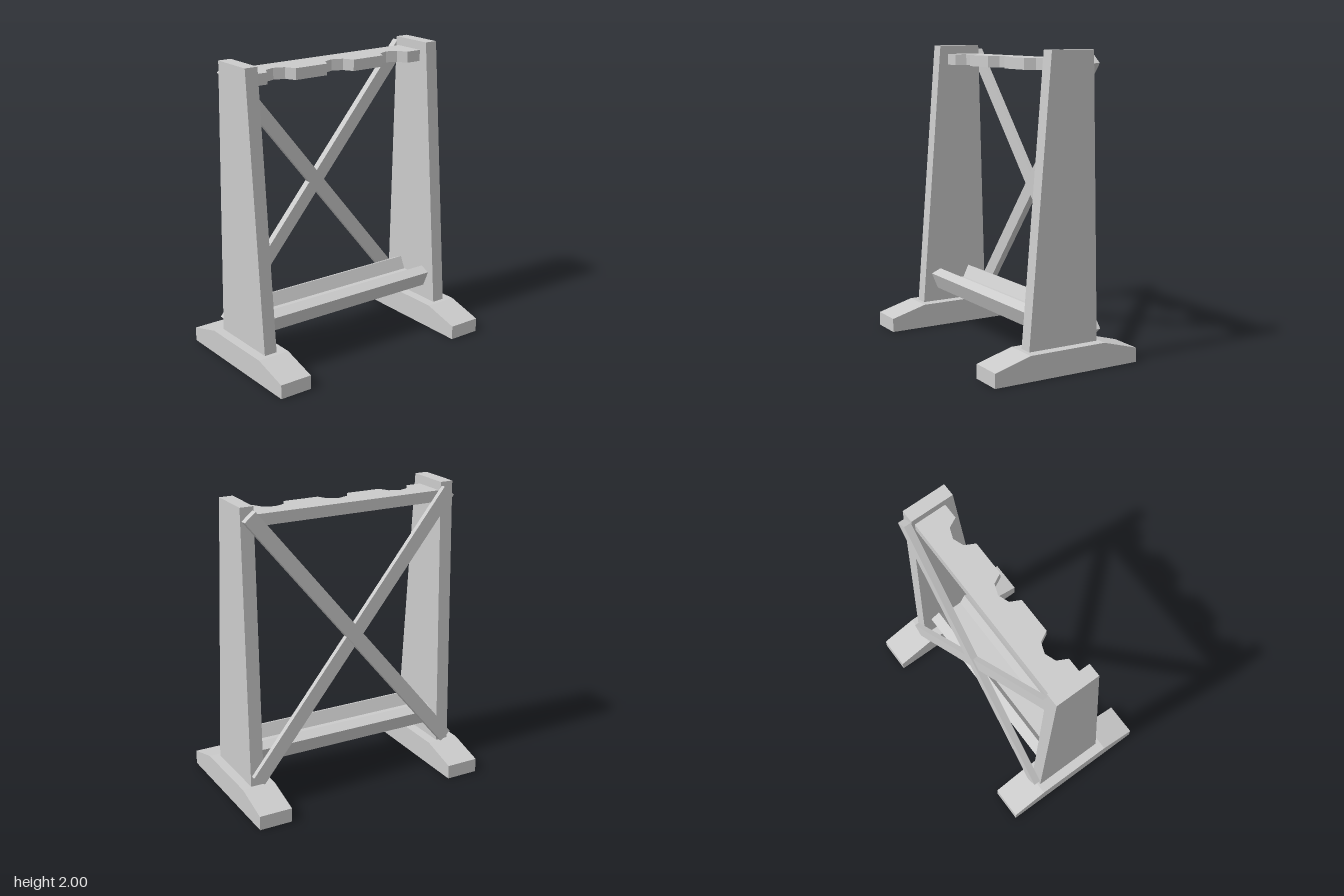
import * as THREE from 'three';

const material = new THREE.MeshStandardMaterial({ color: 0xcccccc, flatShading: true });

function addMesh(parent, name, geometry) {
  const mesh = new THREE.Mesh(geometry, material);
  mesh.name = name;
  parent.add(mesh);
  return mesh;
}

const toShape = (points) => new THREE.Shape(points.map(([a, b]) => new THREE.Vector2(a, b)));

// Side profile given as [z, y], extruded along x and centred on x = 0
function sideExtrude(points, width) {
  const geometry = new THREE.ExtrudeGeometry(toShape(points), { depth: width, bevelEnabled: false });
  geometry.translate(0, 0, -width / 2);
  geometry.rotateY(-Math.PI / 2);
  return geometry;
}

export function createModel() {
  const group = new THREE.Group();
  group.name = 'rack';

  // Feet and tapered uprights on both sides
  const footProfile = [[-0.525, 0], [0.525, 0], [0.525, 0.095], [0.275, 0.165], [-0.275, 0.165], [-0.525, 0.095]];
  const postProfile = [[-0.26, 0.165], [0.245, 0.165], [0.095, 2], [-0.21, 2]];
  for (const [side, s] of [['left', 1], ['right', -1]]) {
    addMesh(group, side + 'Foot', sideExtrude(footProfile, 0.225)).position.x = s * 0.7125;
    addMesh(group, side + 'Post', sideExtrude(postProfile, 0.09)).position.x = s * 0.715;
  }

  // Lower trough with two outward-leaning lips
  const half = [[0.138, 0.26], [0.185, 0.37], [0.115, 0.4], [0.075, 0.317]];
  const mirrored = half.map(([z, y]) => [-z, y]).reverse();
  addMesh(group, 'trough', sideExtrude([...half, ...mirrored], 1.34)).position.z = -0.005;

  // Top shelf with three notches in its front edge
  const outline = [[-0.67, 0.19], [-0.67, -0.035]];
  for (const c of [-0.455, 0, 0.455]) {
    for (const [dx, z] of [[-0.107, 0.035], [-0.072, -0.033], [0, -0.06], [0.072, -0.033], [0.107, 0.035]]) {
      outline.push([c + dx, -z]);
    }
  }
  outline.push([0.67, -0.035], [0.67, 0.19]);
  const shelf = new THREE.ExtrudeGeometry(toShape(outline), { depth: 0.075, bevelEnabled: false });
  shelf.rotateX(-Math.PI / 2);
  addMesh(group, 'notchedShelf', shelf).position.y = 1.866;

  // Crossed braces lying against the sloping backs of the uprights
  const braces = new THREE.Group();
  braces.name = 'crossBraces';
  braces.position.set(0, 1.075, -0.235);
  braces.rotation.x = 0.0272;
  const angle = Math.atan2(0.87, 0.715);
  for (const [name, s, thickness] of [['outerBrace', 1, 0.048], ['innerBrace', -1, 0.035]]) {
    const brace = addMesh(braces, name, new THREE.BoxGeometry(2.252, 0.095, thickness));
    brace.rotation.z = s * angle;
    brace.position.z = -thickness / 2;
  }
  group.add(braces);

  return group;
}
